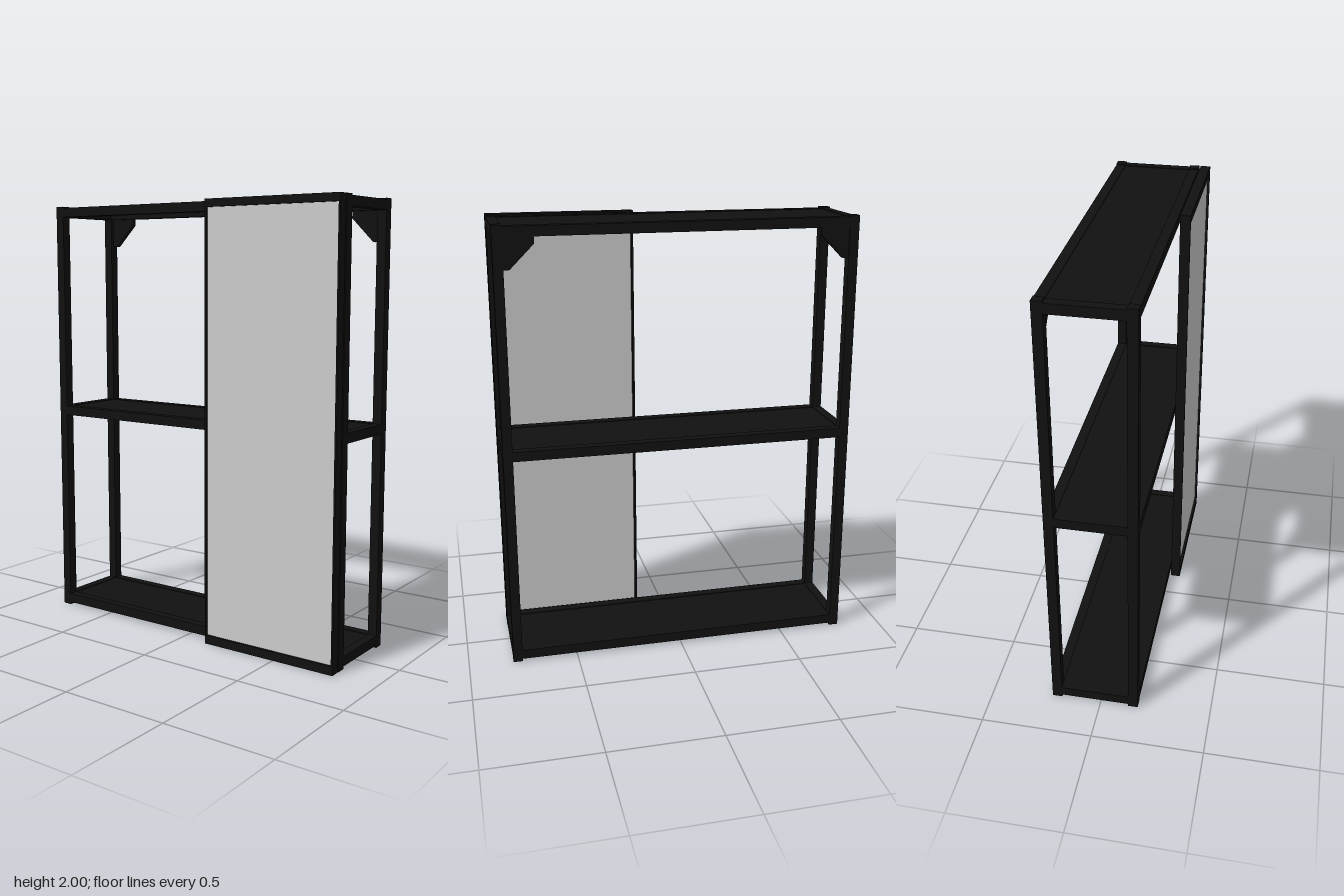
import * as THREE from 'three';

const black = new THREE.MeshStandardMaterial({ color: 0x111111 });
const grey = new THREE.MeshStandardMaterial({ color: 0xcccccc });

// Box given by its min and max corners
function box(parent, name, [x0, x1], [y0, y1], [z0, z1], material = black) {
  const mesh = new THREE.Mesh(new THREE.BoxGeometry(x1 - x0, y1 - y0, z1 - z0), material);
  mesh.position.set((x0 + x1) / 2, (y0 + y1) / 2, (z0 + z1) / 2);
  mesh.name = name;
  parent.add(mesh);
}

const LEFT = [0.755, 0.798], RIGHT = [-0.798, -0.755];
const FRONT = [0.128, 0.172], BACK = [-0.225, -0.181];

function createShelf(name, y) {
  const shelf = new THREE.Group();
  shelf.name = name;
  const height = [y, y + 0.044];
  // Rails between the posts
  for (const z of [FRONT, BACK]) box(shelf, 'longRail', [RIGHT[1], LEFT[0]], height, z);
  for (const x of [LEFT, RIGHT]) box(shelf, 'sideRail', x, height, [BACK[1], FRONT[0]]);
  // Thin board set just below the top of the rails
  box(shelf, 'shelfBoard', [RIGHT[1], LEFT[0]], [y + 0.026, y + 0.041], [BACK[1], FRONT[0]]);
  return shelf;
}

function createDoor() {
  const door = new THREE.Group();
  door.name = 'slidingDoor';
  const x0 = 0.133, x1 = 0.797, depth = [0.179, 0.225];
  // Thin side profiles, taller top and bottom rails
  box(door, 'doorSide', [x0, x0 + 0.008], [0, 2], depth);
  box(door, 'doorSide', [x1 - 0.008, x1], [0, 2], depth);
  box(door, 'doorRail', [x0 + 0.008, x1 - 0.008], [0, 0.04], depth);
  box(door, 'doorRail', [x0 + 0.008, x1 - 0.008], [1.965, 2], depth);
  // Panel held in the frame
  box(door, 'doorPanel', [x0 + 0.008, x1 - 0.008], [0.04, 1.965], [0.204, 0.214], grey);
  return door;
}

// Corner brace plate in the upper back corner, side = 1 or -1
function createBracket(side) {
  const outline = [[0.757, 1.952], [0.625, 1.952], [0.625, 1.92], [0.73, 1.815], [0.757, 1.815]];
  const shape = new THREE.Shape(outline.map(([x, y]) => new THREE.Vector2(x * side, y)));
  const geometry = new THREE.ExtrudeGeometry(shape, { depth: 0.022, bevelEnabled: false });
  const mesh = new THREE.Mesh(geometry, black);
  mesh.position.z = -0.22;
  mesh.name = 'cornerBracket';
  return mesh;
}

export function createModel() {
  const model = new THREE.Group();
  model.name = 'shelvingUnit';
  for (const x of [LEFT, RIGHT]) {
    for (const z of [FRONT, BACK]) box(model, 'post', x, [0, 2], z);
  }
  model.add(createShelf('bottomShelf', 0.012), createShelf('middleShelf', 0.981), createShelf('topShelf', 1.95));
  model.add(createDoor(), createBracket(1), createBracket(-1));
  return model;
}
